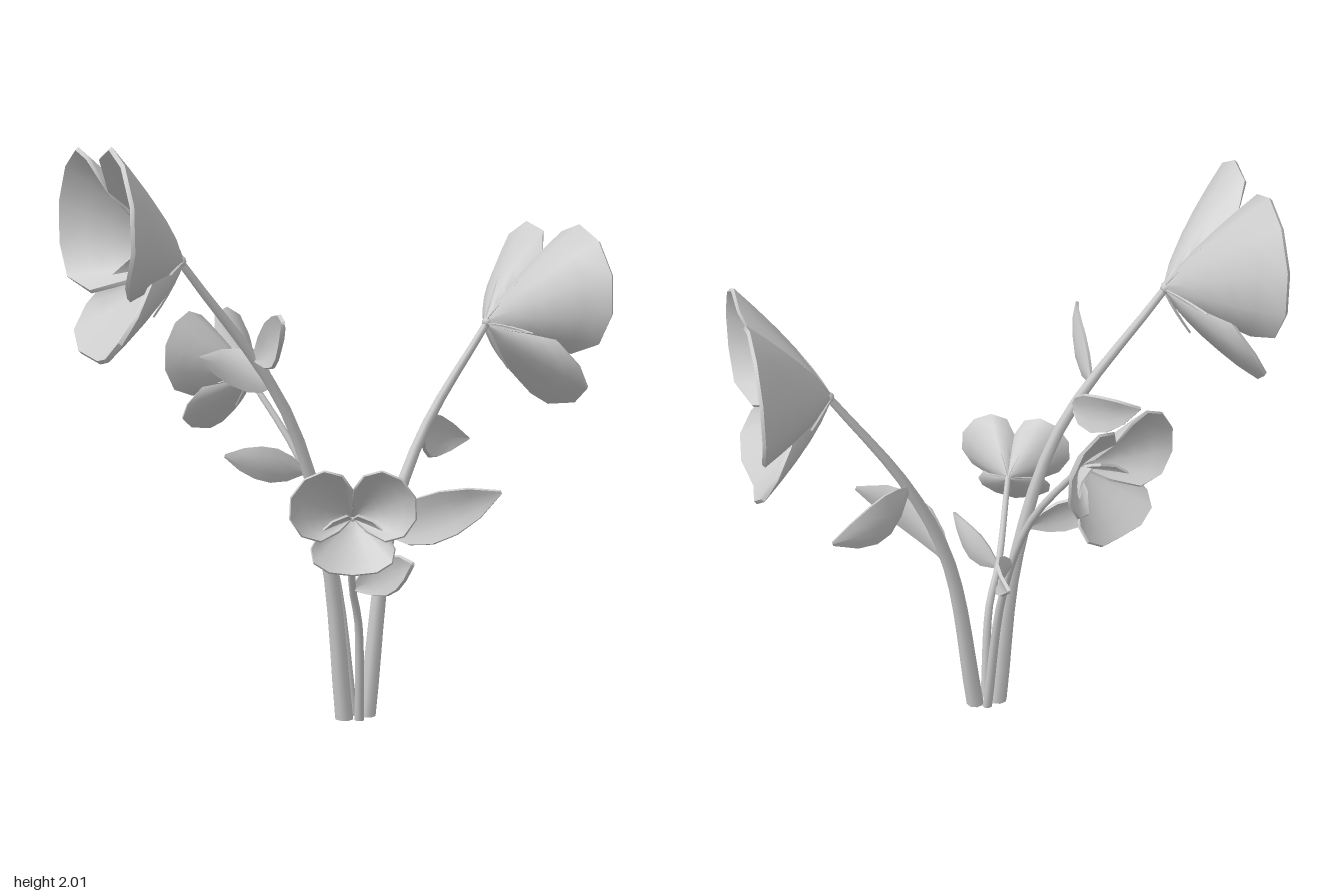
import * as THREE from 'three';
import { toCreasedNormals } from 'three/addons/utils/BufferGeometryUtils.js';

const material = new THREE.MeshStandardMaterial({ color: 0xcccccc, side: THREE.DoubleSide });
const vec = (x, y, z) => new THREE.Vector3(x, y, z);
const rad = THREE.MathUtils.degToRad;

function add(parent, geometry, name) {
  const mesh = new THREE.Mesh(geometry, material);
  mesh.name = name;
  parent.add(mesh);
  return mesh;
}

// Closed thin shell over a grid of points, at(i, j) with i in 0..nu and j in 0..nv
function shell(at, nu, nv, thickness) {
  const id = (i, j) => i * (nv + 1) + j;
  const pts = [], top = [], loop = [];
  for (let i = 0; i <= nu; i++) for (let j = 0; j <= nv; j++) pts.push(at(i, j));
  for (let i = 0; i < nu; i++) for (let j = 0; j < nv; j++) {
    const a = id(i, j), b = id(i + 1, j), c = id(i + 1, j + 1), d = id(i, j + 1);
    top.push(a, b, c, a, c, d);
  }
  for (let i = 0; i < nu; i++) loop.push(id(i, 0));
  for (let j = 0; j < nv; j++) loop.push(id(nu, j));
  for (let i = nu; i > 0; i--) loop.push(id(i, nv));
  for (let j = nv; j > 0; j--) loop.push(id(0, j));

  const sheet = new THREE.BufferGeometry().setFromPoints(pts);
  sheet.setIndex(top);
  sheet.computeVertexNormals();
  const n = pts.length, normal = vec(0, 0, 0);
  const layer = (sign) => pts.map((p, k) =>
    p.clone().addScaledVector(normal.fromBufferAttribute(sheet.attributes.normal, k), sign * thickness / 2));
  const index = [...top];
  for (let k = 0; k < top.length; k += 3) index.push(top[k] + n, top[k + 2] + n, top[k + 1] + n);
  loop.forEach((p, k) => {
    const q = loop[(k + 1) % loop.length];
    index.push(p, p + n, q + n, p, q + n, q);
  });
  const geometry = new THREE.BufferGeometry().setFromPoints([...layer(1), ...layer(-1)]);
  geometry.setIndex(index);
  return toCreasedNormals(geometry, 0.8);
}

// Petal fanned out from the flower base to a rim, bowed backwards
function petal(rim, segments) {
  const rows = 5;
  return shell((i, j) => {
    const t = 0.05 + 0.95 * i / rows, p = rim(j / segments);
    return vec(p.x * t, p.y * t, p.z * t ** 1.3);
  }, rows, segments, 0.014);
}

// Round upper rim, its top leaning towards the middle; side is 1 or -1
const upperRim = (side) => (t) => {
  const a = rad(190 - 315 * t);
  const x = 0.2 + 0.2 * Math.cos(a) - 0.04 * Math.max(0, Math.sin(a));
  const y = 0.125 + 0.225 * Math.sin(a);
  const rise = Math.min(1, Math.hypot(x, y) / 0.35);
  return vec(side * x, y, 0.275 * Math.sin(rise * Math.PI / 2));
};

// Wide lower rim, broader and further forward towards the tip, with a hollow down the middle
const lowerRim = (t) => {
  const a = rad(80 - 340 * t);
  const x = 0.255 * Math.cos(a) * (1 - 0.25 * Math.sin(a));
  const y = -0.13 + 0.175 * Math.sin(a);
  const hollow = 0.18 * Math.hypot(x, y) * Math.max(0, 1 - Math.abs(x) / 0.25);
  return vec(x, y, 0.14 - 0.6 * y - hollow);
};

// Pointed blade along a bent midrib, spread along the vector wide
function blade(base, mid, tip, width, wide, thickness) {
  const curve = new THREE.QuadraticBezierCurve3(base, mid, tip);
  const profile = [0.12, 0.72, 1, 0.95, 0.65, 0.06];
  return shell((i, j) => {
    const t = i / 5, v = j / 2 - 1, spread = profile[i] * width;
    const tangent = curve.getTangent(t);
    const side = wide.clone().addScaledVector(tangent, -wide.dot(tangent)).normalize();
    return curve.getPoint(t)
      .addScaledVector(side, v * spread / 2)
      .addScaledVector(tangent.cross(side), 0.12 * v * v * spread);
  }, 5, 4, thickness);
}

// Upright leaf reaching from base by an offset, its midrib bowed sideways
function leaf(base, [dx, dy, dz], bow, width) {
  const mid = base.clone().add(vec(dx / 2 + dz * bow, dy / 2, dz / 2 - dx * bow));
  return blade(base, mid, base.clone().add(vec(dx, dy, dz)), width, vec(0, 1, 0), 0.012);
}

// Tapered stem with a closed foot on the ground
function stem(parent, curve, r0, r1) {
  const segments = 14, sides = 8;
  const geometry = new THREE.TubeGeometry(curve, segments, 1, sides, false);
  const p = geometry.attributes.position, v = vec(0, 0, 0);
  for (let k = 0; k < p.count; k++) {
    const t = Math.floor(k / (sides + 1)) / segments, c = curve.getPointAt(t);
    v.fromBufferAttribute(p, k).sub(c).multiplyScalar(r0 + (r1 - r0) * t).add(c);
    p.setXYZ(k, v.x, t === 0 ? 0 : v.y, v.z);
  }
  add(parent, geometry, 'stem');
  const foot = add(parent, new THREE.CircleGeometry(r0, sides), 'stemFoot');
  foot.rotation.x = Math.PI / 2;
  foot.position.copy(curve.points[0]);
}

// Flower opening towards its own +z
function flower() {
  const g = new THREE.Group();
  g.name = 'flower';
  add(g, petal(upperRim(1), 9), 'upperPetalLeft');
  add(g, petal(upperRim(-1), 9), 'upperPetalRight');
  add(g, petal(lowerRim, 12), 'lowerPetal');
  // Narrow sepals behind the petals
  for (const angle of [25, 100, 180, 260, 335]) {
    const s = Math.sin(rad(angle)), c = Math.cos(rad(angle));
    add(g, blade(vec(0, 0, -0.01), vec(s * 0.08, c * 0.08, 0.03), vec(s * 0.17, c * 0.17, 0.09),
      0.016, vec(c, -s, 0), 0.007), 'sepal');
  }
  add(g, new THREE.SphereGeometry(0.02, 8, 6), 'flowerBase');
  return g;
}

// Stem with leaves, and a flower facing the way the stem leans
// Each leaf: place along the stem, offset of the tip, sideways bow, width
function sprig(name, path, radius, scale, leaves) {
  const g = new THREE.Group();
  g.name = name;
  const curve = new THREE.CatmullRomCurve3(path.map((p) => vec(...p)));
  stem(g, curve, radius, 0.008 + radius * 0.16);
  for (const [t, offset, bow, width] of leaves) add(g, leaf(curve.getPointAt(t), offset, bow, width), 'leaf');
  const head = flower(), lean = curve.getTangent(1);
  head.position.copy(curve.getPoint(1));
  head.rotation.y = Math.atan2(lean.x, lean.z);
  head.scale.setScalar(scale);
  g.add(head);
  return g;
}

export function createModel() {
  const model = new THREE.Group();
  model.name = 'flowerBunch';
  model.add(
    sprig('tallSprig', [[0.01, 0, 0.07], [-0.06, 0.62, 0.07], [-0.22, 1.12, 0.075], [-0.59, 1.63, 0.055]], 0.034, 1.06, [
      [0.763, [-0.05, 0.15, 0.34], 0.19, 0.16],
      [0.7, [-0.17, 0.08, -0.23], -0.35, 0.14],
    ]),
    sprig('sideSprig', [[0.1, 0, 0.07], [0.2, 0.65, 0.045], [0.35, 1, 0.02], [0.61, 1.38, 0.02]], 0.033, 1, [
      [0.685, [0.31, -0.06, -0.2], 0.35, 0.16],
      [0.435, [0.27, 0.18, 0.32], -0.29, 0.17],
    ]),
    sprig('backSprig', [[0.06, 0, 0.04], [0.02, 0.52, -0.03], [-0.05, 0.88, -0.14], [-0.17, 1.19, -0.34]], 0.019, 0.66, [
      [0.685, [-0.29, 0.07, -0.05], 0.16, 0.12],
      [0.537, [0.08, 0.05, -0.26], -0.25, 0.12],
    ]),
    sprig('frontSprig', [[0.05, 0, 0.11], [0.02, 0.36, 0.16], [-0.03, 0.51, 0.21], [-0.11, 0.78, 0.37]], 0.018, 0.53, [
      [0.61, [0.11, 0.12, 0.23], 0.3, 0.13],
    ]),
  );
  return model;
}
